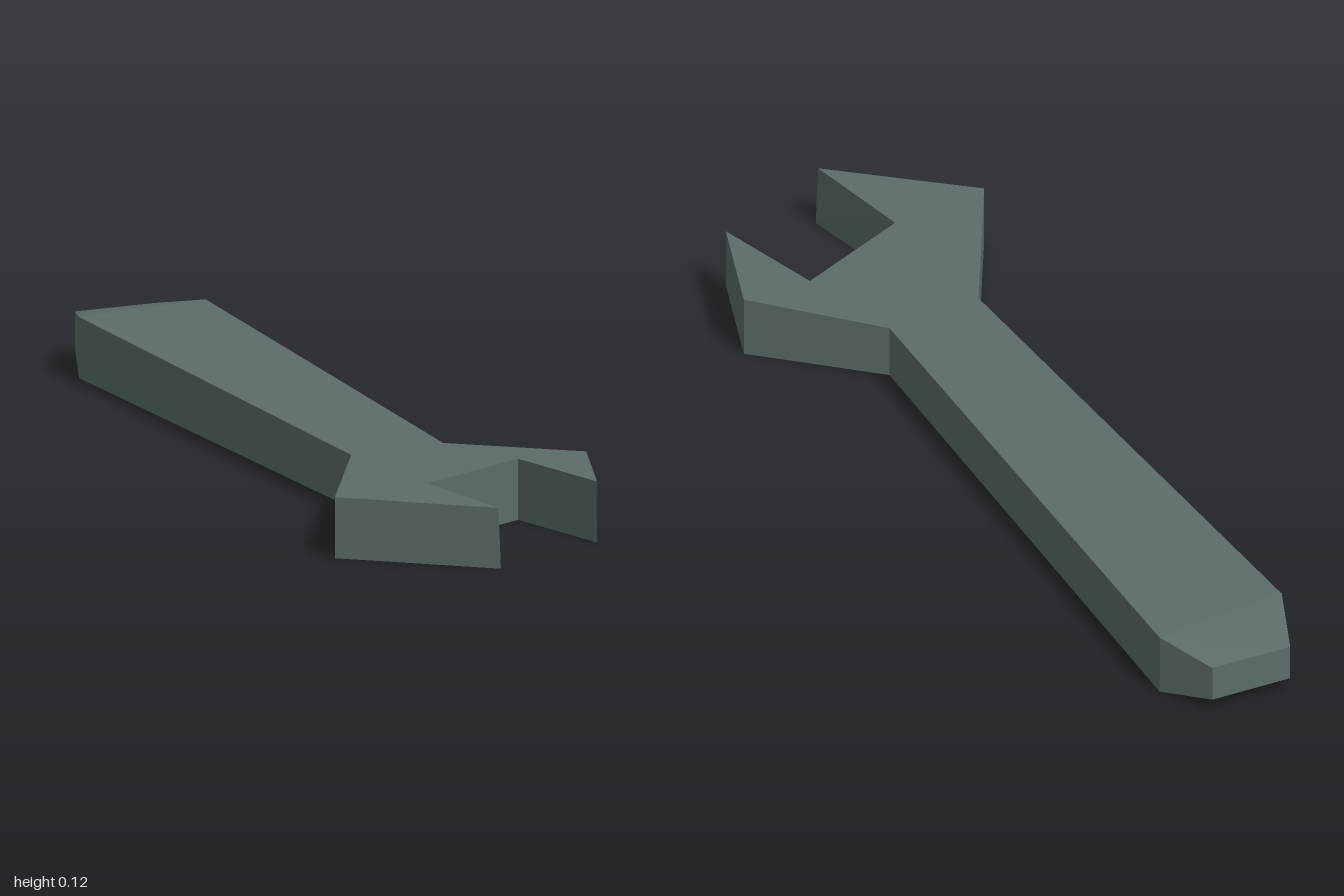
import * as THREE from 'three';

// Clockwise outline seen from above: x, z, inset of the edge from full height
const outline = [
  [-0.105, -0.99, 0.025], [0.065, -1, 0.025], [0.125, -0.89, 0],  // rounded handle end
  [0.085, 0.405, 0.008],                                          // neck, left
  [0.297, 0.61, 0], [0.217, 0.86, 0], [0.152, 0.62, 0],           // small jaw
  [-0.09, 0.75, 0], [-0.045, 1, 0], [-0.3, 0.795, 0],             // large jaw
  [-0.118, 0.435, 0.008],                                         // neck, right
  [-0.158, -0.84, 0],
];
const HEIGHT = 0.12;

const top = (i) => [outline[i][0], HEIGHT - outline[i][2], outline[i][1]];
const bottom = (i) => [outline[i][0] + (i === 8 ? 0.005 : 0), outline[i][2], outline[i][1]];

// Flat-shaded geometry from convex polygons, each split as a fan
function fromPolygons(polygons) {
  const pos = [];
  for (const p of polygons) {
    for (let k = 1; k < p.length - 1; k++) pos.push(...p[0], ...p[k], ...p[k + 1]);
  }
  const g = new THREE.BufferGeometry();
  g.setAttribute('position', new THREE.Float32BufferAttribute(pos, 3));
  g.computeVertexNormals();
  return g;
}

export function createModel() {
  const steel = new THREE.MeshStandardMaterial({ color: 0x5c6c6b, side: THREE.DoubleSide });
  steel.name = 'grey steel';

  const group = new THREE.Group();
  group.name = 'wrench';
  const add = (name, polygons) => {
    const mesh = new THREE.Mesh(fromPolygons(polygons), steel);
    mesh.name = name;
    group.add(mesh);
  };
  const cap = (...indices) => indices.map(top);
  const wall = (i) => {
    const j = (i + 1) % outline.length;
    return [top(i), top(j), bottom(j), bottom(i)];
  };

  // Handle: sloped end, long tapered top and side walls; open underneath
  add('handle', [cap(0, 11, 2, 1), cap(11, 10, 3, 2), ...[10, 11, 0, 1, 2].map(wall)]);

  // Head: web behind the opening
  add('headWeb', [cap(10, 7, 6, 3), wall(6)]);

  // Jaws on both sides of the opening
  add('leftJaw', [cap(3, 6, 4), cap(4, 6, 5), ...[3, 4, 5].map(wall)]);
  add('rightJaw', [cap(10, 9, 7), cap(9, 8, 7), ...[7, 8, 9].map(wall)]);

  return group;
}
